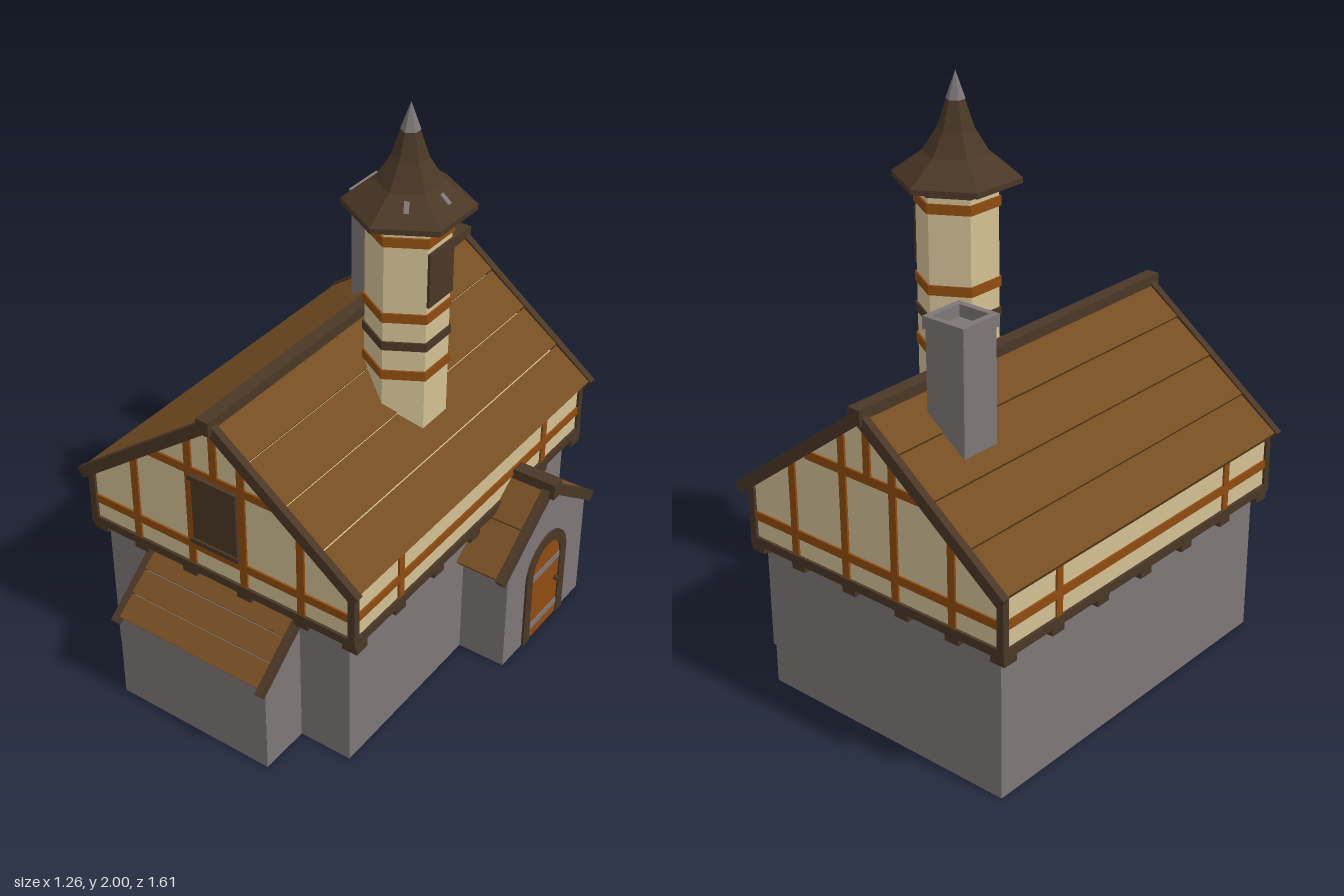
import * as THREE from 'three';

const paint = (name, color) => {
  const m = new THREE.MeshStandardMaterial({ color });
  m.name = name;
  return m;
};

export function createModel() {
  const stone = paint('stone', 0x7d7676);
  const plaster = paint('plaster', 0xd2c094);
  const timber = paint('orangeTimber', 0x8f4c10);
  const dark = paint('darkTimber', 0x4a3726);
  const shingle = paint('roofBoards', 0x754d22);

  const model = new THREE.Group();
  model.name = 'timberHouse';

  const group = (name) => {
    const g = new THREE.Group();
    g.name = name;
    model.add(g);
    return g;
  };
  const add = (parent, name, mat, geo) => {
    const m = new THREE.Mesh(geo, mat);
    m.name = name;
    parent.add(m);
    return m;
  };
  const box = (parent, name, mat, x0, x1, y0, y1, z0, z1) => {
    const m = add(parent, name, mat, new THREE.BoxGeometry(x1 - x0, y1 - y0, z1 - z0));
    m.position.set((x0 + x1) / 2, (y0 + y1) / 2, (z0 + z1) / 2);
    return m;
  };
  // Board whose top edge runs from p to q in the xy plane
  const beam = (parent, name, mat, p, q, t, z0, z1) => {
    const [a, b] = p[0] < q[0] ? [p, q] : [q, p];
    const dx = b[0] - a[0], dy = b[1] - a[1], len = Math.hypot(dx, dy);
    const m = add(parent, name, mat, new THREE.BoxGeometry(len, t, z1 - z0));
    m.position.set((a[0] + b[0]) / 2 + (dy / len) * t / 2, (a[1] + b[1]) / 2 - (dx / len) * t / 2, (z0 + z1) / 2);
    m.rotation.z = Math.atan2(dy, dx);
  };
  // Row of lapped boards climbing from low to high
  const slope = (parent, low, high, n, t, z0, z1) => {
    for (let i = 0; i < n; i++) {
      const at = (k) => [low[0] + (high[0] - low[0]) * k / n, low[1] + (high[1] - low[1]) * k / n];
      const a = at(i);
      a[1] += 0.006;
      beam(parent, 'roofBoard', shingle, a, at(i + 1), t, z0, z1);
    }
  };
  const prism = (parent, name, mat, pts, z0, z1) => {
    const shape = new THREE.Shape(pts.map(([x, y]) => new THREE.Vector2(x, y)));
    const m = add(parent, name, mat, new THREE.ExtrudeGeometry(shape, { depth: z1 - z0, bevelEnabled: false }));
    m.position.z = z0;
    return m;
  };
  const flat = (geo) => {
    const g = geo.toNonIndexed();
    g.computeVertexNormals();
    return g;
  };

  // Ground floor and jettied upper floor
  const house = group('house');
  const cx = -0.068, pitch = 0.757;
  const wallTop = (x) => 1.135 - pitch * Math.abs(x - cx);
  box(house, 'groundFloor', stone, -0.56, 0.425, 0, 0.54, -0.73, 0.58);
  prism(house, 'upperFloor', plaster,
    [[-0.595, 0.53], [0.46, 0.53], [0.46, wallTop(0.46)], [cx, 1.135], [-0.595, wallTop(-0.595)]], -0.76, 0.605);
  box(house, 'sill', dark, -0.605, 0.47, 0.527, 0.557, -0.77, 0.615);
  for (const x of [-0.59, 0.455]) for (const z of [0.602, -0.757])
    box(house, 'cornerPost', dark, x - 0.013, x + 0.013, 0.55, 0.735, z - 0.013, z + 0.013);

  // Joist ends under the sill
  for (const x of [-0.573, -0.395, -0.19, 0.033, 0.258, 0.445])
    for (const z of [0.58, -0.735])
      box(house, 'joist', dark, x - 0.028, x + 0.028, 0.5, 0.53, z - 0.028, z + 0.028);
  for (let i = 1; i < 6; i++) {
    const z = 0.58 - i * 0.219;
    for (const x of [-0.573, 0.44])
      box(house, 'joist', dark, x - 0.028, x + 0.028, 0.5, 0.53, z - 0.028, z + 0.028);
  }

  // Framing on the gables
  for (const [z0, z1] of [[0.6, 0.612], [-0.767, -0.755]]) {
    for (const x of [-0.4, -0.17, 0.038, 0.262])
      box(house, 'stud', timber, x - 0.014, x + 0.014, 0.55, wallTop(x), z0, z1);
    box(house, 'kingStud', timber, cx - 0.014, cx + 0.014, 0.94, 1.12, z0, z1);
    box(house, 'rail', timber, -0.59, 0.455, 0.62, 0.65, z0, z1);
    box(house, 'collarRail', timber, cx - 0.265, cx + 0.265, 0.917, 0.947, z0, z1);
  }
  // Framing on the long sides
  for (const [x0, x1] of [[-0.602, -0.59], [0.455, 0.467]]) {
    box(house, 'rail', timber, x0, x1, 0.62, 0.65, -0.755, 0.6);
    for (const z of [0.357, -0.51])
      box(house, 'stud', timber, x0, x1, 0.55, 0.735, z - 0.014, z + 0.014);
  }
  // Gable shutter
  box(house, 'shutter', dark, -0.155, 0.02, 0.66, 0.92, 0.6, 0.618);
  for (const y of [0.655, 0.905])
    box(house, 'shutterRail', dark, -0.163, 0.028, y, y + 0.018, 0.6, 0.625);

  // Main roof
  const roof = group('mainRoof');
  for (const s of [-1, 1]) {
    slope(roof, [cx + s * 0.553, 0.745], [cx, 1.163], 4, 0.03, -0.785, 0.62);
    for (const z of [-0.8, 0.608])
      beam(roof, 'bargeBoard', dark, [cx + s * 0.562, 0.75], [cx, 1.175], 0.04, z, z + 0.026);
  }
  box(roof, 'ridgeBeam', dark, cx - 0.024, cx + 0.024, 1.13, 1.182, -0.81, 0.65);

  // Chimney with open cap
  const chimney = group('chimney');
  box(chimney, 'stack', stone, -0.29, -0.143, 0.85, 1.38, -0.578, -0.432);
  for (const [x0, x1, z0, z1] of [[-0.297, -0.275, -0.585, -0.425], [-0.158, -0.136, -0.585, -0.425],
    [-0.275, -0.158, -0.585, -0.563], [-0.275, -0.158, -0.447, -0.425]])
    box(chimney, 'cap', stone, x0, x1, 1.38, 1.42, z0, z1);

  // Six-sided tower
  const tower = group('tower');
  tower.position.set(0.164, 0, -0.096);
  const hex = (name, mat, r, y0, y1) => {
    add(tower, name, mat, flat(new THREE.CylinderGeometry(r, r, y1 - y0, 6))).position.y = (y0 + y1) / 2;
  };
  hex('shaft', plaster, 0.135, 0.8, 1.64);
  for (const y of [1.09, 1.302, 1.572]) hex('band', timber, 0.142, y, y + 0.033);
  hex('darkBand', dark, 0.142, 1.2, 1.23);
  hex('cornice', dark, 0.143, 1.625, 1.655);
  box(tower, 'towerShutter', dark, 0.1, 0.126, 1.36, 1.55, -0.067, 0.067);
  const profile = [[0, 1.65], [0.211, 1.65], [0.211, 1.668], [0.11, 1.742], [0.06, 1.82], [0.026, 1.92], [0, 1.925]];
  add(tower, 'spire', dark, flat(new THREE.LatheGeometry(profile.map((p) => new THREE.Vector2(...p)), 6)));
  add(tower, 'finial', stone, flat(new THREE.ConeGeometry(0.032, 0.09, 6))).position.y = 1.955;
  for (const turn of [Math.PI / 6, Math.PI / 2]) {
    const vent = new THREE.Group();
    vent.name = 'spireVent';
    vent.rotation.y = turn;
    tower.add(vent);
    const lid = box(vent, 'ventPlate', stone, -0.008, 0.008, 1.711, 1.718, 0.11, 0.15);
    lid.rotation.x = 0.7;
  }

  // Side porch: local x runs along the house, local z outward
  const porch = group('porch');
  porch.rotation.y = Math.PI / 2;
  porch.position.z = -0.335;
  prism(porch, 'porchWall', stone, [[-0.255, 0], [0.255, 0], [0.255, 0.415], [0, 0.605], [-0.255, 0.415]], 0.4, 0.6);
  for (const s of [-1, 1]) {
    slope(porch, [s * 0.3, 0.403], [0, 0.625], 2, 0.022, 0.4, 0.59);
    beam(porch, 'porchBarge', dark, [s * 0.308, 0.405], [0, 0.633], 0.036, 0.58, 0.608);
  }
  box(porch, 'porchRidge', dark, -0.025, 0.025, 0.585, 0.645, 0.4, 0.626);

  // Arched door
  const arch = (r) => {
    const s = new THREE.Shape();
    s.moveTo(-r, 0);
    s.lineTo(r, 0);
    s.lineTo(r, 0.28);
    s.absarc(0, 0.28, r, 0, Math.PI, false);
    return s;
  };
  const panel = (name, mat, shape, z, depth) => {
    const geo = new THREE.ExtrudeGeometry(shape, { depth, bevelEnabled: false, curveSegments: 12 });
    add(porch, name, mat, geo).position.z = z;
  };
  const frame = new THREE.Shape();
  frame.moveTo(-0.132, 0);
  frame.lineTo(-0.092, 0);
  frame.lineTo(-0.092, 0.28);
  frame.absarc(0, 0.28, 0.092, Math.PI, 0, true);
  frame.lineTo(0.092, 0);
  frame.lineTo(0.132, 0);
  frame.lineTo(0.132, 0.28);
  frame.absarc(0, 0.28, 0.132, 0, Math.PI, false);
  panel('doorFrame', dark, frame, 0.59, 0.018);
  panel('door', timber, arch(0.092), 0.59, 0.013);
  for (const y of [0.042, 0.255])
    box(porch, 'doorStrap', stone, -0.09, 0.09, y, y + 0.026, 0.6, 0.606);
  add(porch, 'doorKnob', dark, new THREE.SphereGeometry(0.01, 10, 8)).position.set(0.073, 0.172, 0.608);

  // Front lean-to: local x runs back to front reversed, local z across
  const leanTo = group('leanTo');
  leanTo.rotation.y = Math.PI / 2;
  prism(leanTo, 'leanToWall', stone, [[-0.763, 0], [-0.57, 0], [-0.57, 0.49], [-0.763, 0.335]], -0.373, 0.232);
  slope(leanTo, [-0.778, 0.343], [-0.57, 0.512], 3, 0.018, -0.373, 0.23);
  for (const z of [-0.381, 0.213])
    beam(leanTo, 'leanToRafter', dark, [-0.795, 0.336], [-0.57, 0.52], 0.03, z, z + 0.024);

  return model;
}
